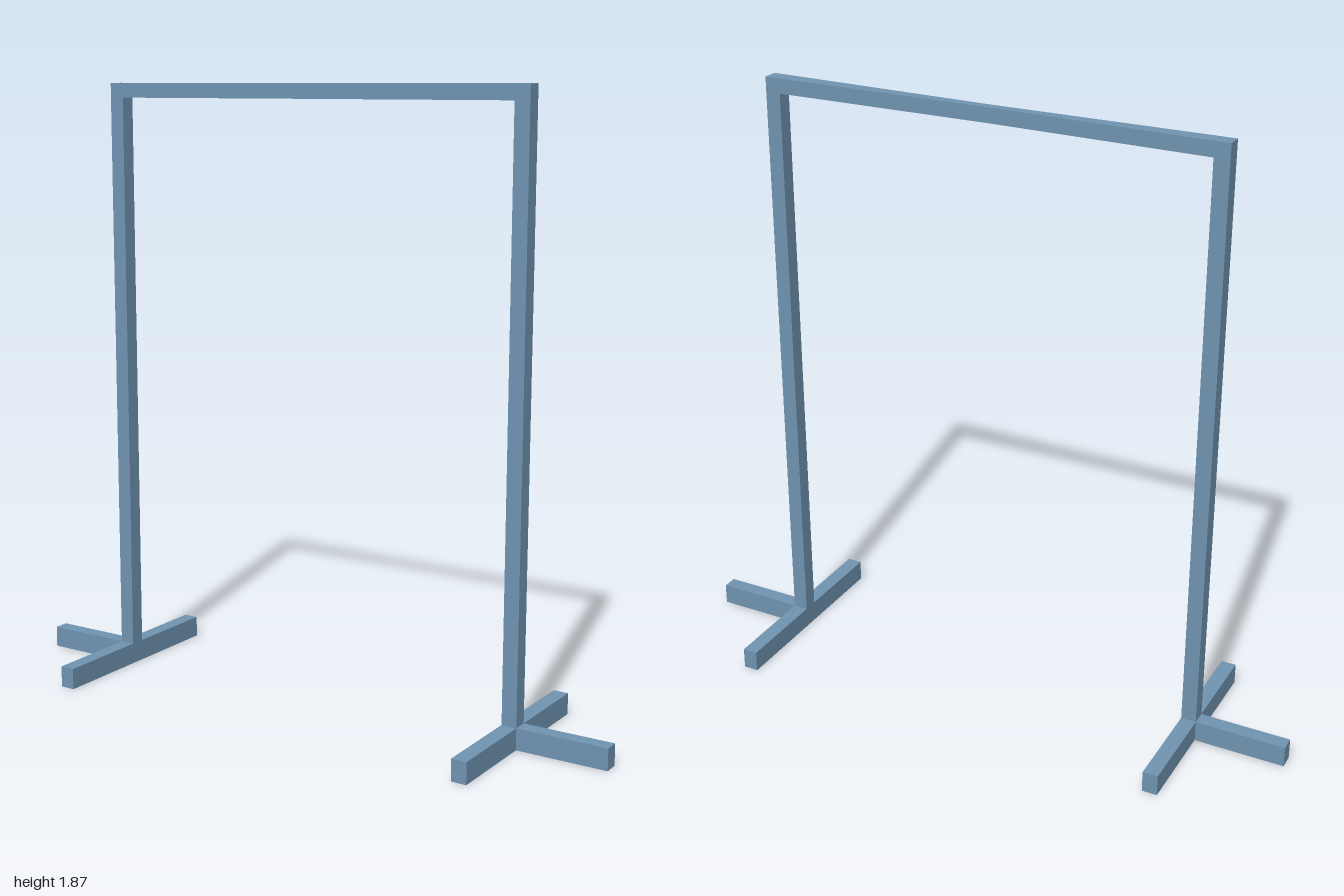
import * as THREE from 'three';

const T = 0.047;       // tube thickness
const BAR_H = 0.045;   // top bar height
const H = 1.87;        // overall height
const POST_X = 0.695;  // post centre
const FOOT_H = 0.066;  // foot height
const INNER = POST_X - T / 2;
const OUTER = POST_X + T / 2;

export function createModel() {
  const group = new THREE.Group();
  const material = new THREE.MeshStandardMaterial({ color: 0x6f93b0, flatShading: true });

  const add = (name, geometry, x, y, z) => {
    const mesh = new THREE.Mesh(geometry, material);
    mesh.name = name;
    mesh.position.set(x, y, z);
    group.add(mesh);
  };

  for (const [side, s] of [['left', 1], ['right', -1]]) {
    // Upright post, down to the floor
    add(side + 'Post', new THREE.BoxGeometry(T, H, T), s * POST_X, H / 2, 0);

    // Three feet: front, back and outward
    const zLen = 0.323 - T / 2;
    for (const [end, d] of [['Front', 1], ['Back', -1]]) {
      add(side + end + 'Foot', new THREE.BoxGeometry(T, FOOT_H, zLen),
        s * POST_X, FOOT_H / 2, d * (T + zLen) / 2);
    }
    add(side + 'OuterFoot', new THREE.BoxGeometry(1 - OUTER, FOOT_H, T),
      s * (1 + OUTER) / 2, FOOT_H / 2, 0);
  }

  // Top bar, thinning in depth towards its middle
  const bar = new THREE.BoxGeometry(2 * INNER, BAR_H, T, 2, 1, 1);
  const p = bar.attributes.position;
  for (let i = 0; i < p.count; i++) {
    const t = Math.abs(p.getX(i)) / INNER;
    p.setZ(i, p.getZ(i) * (0.6 + 0.4 * t));
  }
  bar.computeVertexNormals();
  add('topBar', bar, 0, H - BAR_H / 2, 0);

  return group;
}
